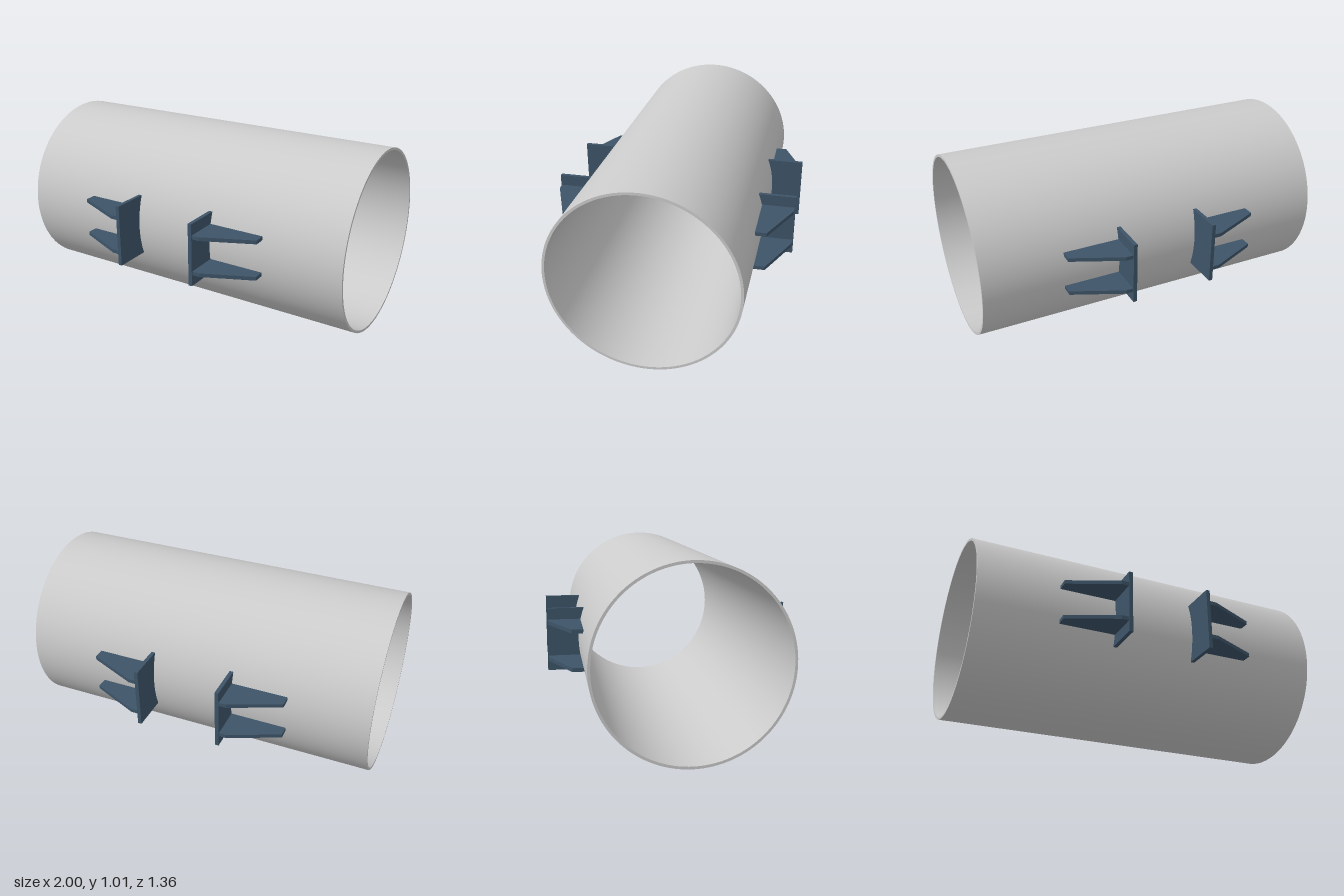
import * as THREE from 'three';
import { toCreasedNormals } from 'three/addons/utils/BufferGeometryUtils.js';

const R = 0.507, INNER = 0.493; // pipe radii
const HALF = 0.175;             // half height of an end plate
const THICK = 0.021;            // plate and rib thickness

const steel = new THREE.MeshStandardMaterial({ color: 0xcccccc });
const painted = new THREE.MeshStandardMaterial({ color: 0x3d5468 });

function part(name, geometry, material) {
  const mesh = new THREE.Mesh(geometry, material);
  mesh.name = name;
  return mesh;
}

// Open pipe along x: a thin rectangular wall section turned about the axis
function makePipe() {
  const wall = [[R, -1], [R, 1], [INNER, 1], [INNER, -1], [R, -1]]
    .map(([r, y]) => new THREE.Vector2(r, y));
  const geometry = toCreasedNormals(new THREE.LatheGeometry(wall, 128), Math.PI / 6);
  geometry.rotateZ(Math.PI / 2);
  return part('pipe', geometry, steel);
}

// Upright plate whose inner edge is cut to the curve of the pipe
function makePlate() {
  const a = Math.asin(HALF / R);
  const shape = new THREE.Shape();
  shape.moveTo(R * Math.cos(a), -HALF);
  shape.lineTo(0.68, -HALF);
  shape.lineTo(0.68, HALF);
  shape.lineTo(R * Math.cos(a), HALF);
  shape.absarc(0, 0, R, a, -a, true);
  const geometry = new THREE.ExtrudeGeometry(shape, { depth: THICK, bevelEnabled: false, curveSegments: 16 });
  geometry.rotateY(-Math.PI / 2);
  geometry.translate(0.243, 0, 0);
  return part('endPlate', geometry, painted);
}

// Tapered rib lying flat behind the plate
function makeRib(y) {
  const shape = new THREE.Shape([
    [0.243, 0.496], [0.555, 0.496], [0.555, 0.557], [0.283, 0.675], [0.243, 0.675],
  ].map(([x, z]) => new THREE.Vector2(x, z)));
  const geometry = new THREE.ExtrudeGeometry(shape, { depth: THICK, bevelEnabled: false });
  geometry.rotateX(Math.PI / 2);
  geometry.translate(0, y + THICK / 2, 0);
  return part('rib', geometry, painted);
}

export function createModel() {
  const model = new THREE.Group();
  model.name = 'pipeWithBrackets';
  const body = new THREE.Group();
  body.name = 'body';
  body.position.y = R;
  body.add(makePipe());

  // Four brackets: half turns about each axis reach the other three corners
  const turns = {
    frontLeftBracket: [0, 0, 0],
    frontRightBracket: [0, 0, Math.PI],
    backRightBracket: [0, Math.PI, 0],
    backLeftBracket: [Math.PI, 0, 0],
  };
  for (const [name, turn] of Object.entries(turns)) {
    const bracket = new THREE.Group();
    bracket.name = name;
    bracket.add(makePlate(), makeRib(0.102), makeRib(-0.102));
    bracket.rotation.set(...turn);
    body.add(bracket);
  }

  model.add(body);
  return model;
}
